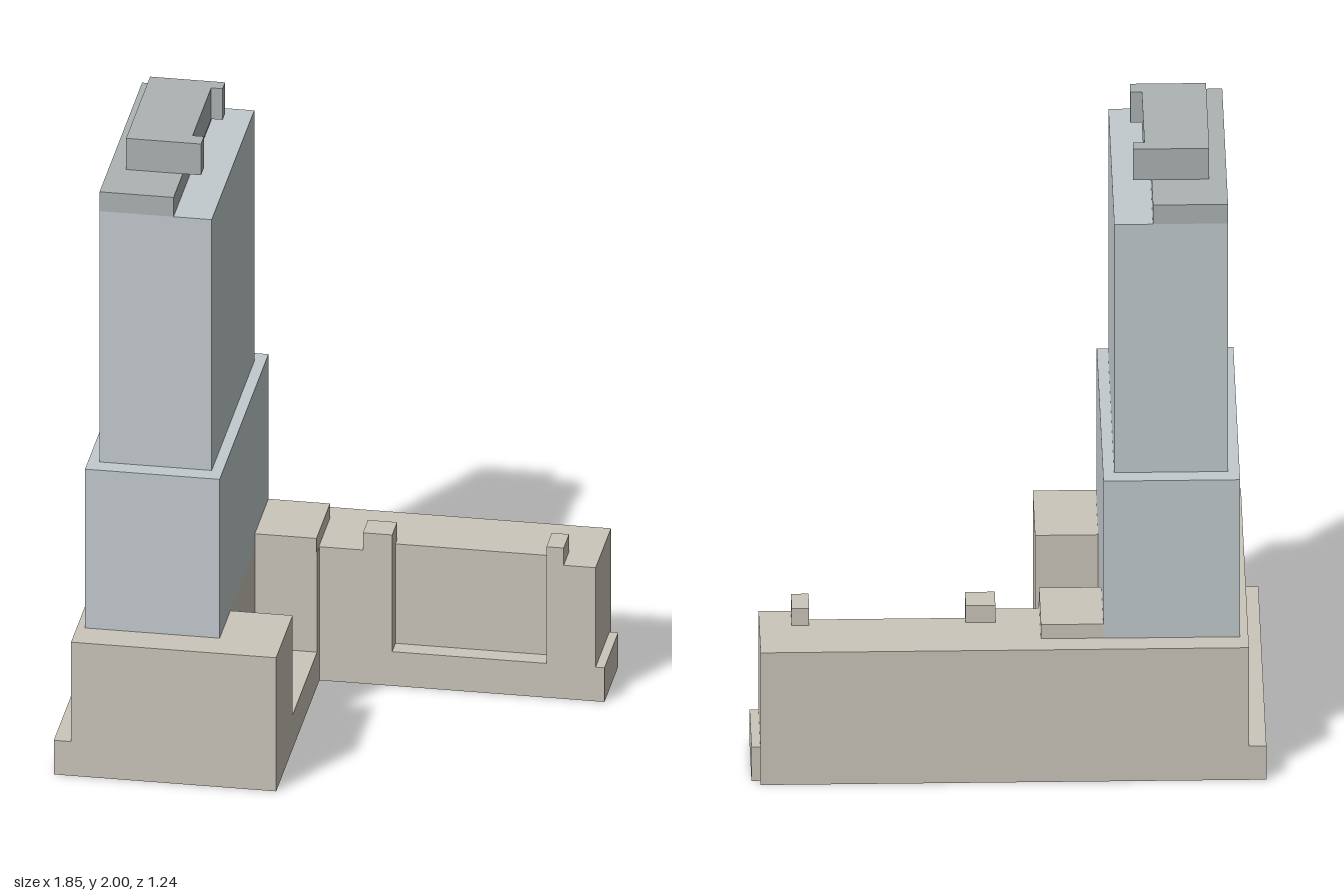
import * as THREE from 'three';

const STONE = new THREE.MeshStandardMaterial({ color: 0xccc6bb });
const GLASS = new THREE.MeshStandardMaterial({ color: 0xc3cbce });
const CROWN = new THREE.MeshStandardMaterial({ color: 0xadb3b3 });

// Vertical prism from a plan outline of [x, z] points
function prism(name, material, y0, y1, outline) {
  const shape = new THREE.Shape(outline.map(([x, z]) => new THREE.Vector2(x, z)));
  const geometry = new THREE.ExtrudeGeometry(shape, { depth: y1 - y0, bevelEnabled: false });
  geometry.rotateX(Math.PI / 2).translate(0, y1, 0);
  const mesh = new THREE.Mesh(geometry, material);
  mesh.name = name;
  return mesh;
}

// Box from its plan and height limits
function block(name, material, x0, x1, z0, z1, y0, y1) {
  const geometry = new THREE.BoxGeometry(x1 - x0, y1 - y0, z1 - z0);
  const mesh = new THREE.Mesh(geometry, material);
  mesh.position.set((x0 + x1) / 2, (y0 + y1) / 2, (z0 + z1) / 2);
  mesh.name = name;
  return mesh;
}

export function createModel() {
  // The building is laid out square to its own axes, then turned on the site
  const building = new THREE.Group();
  building.name = 'building';
  building.position.set(-0.27, 0, -0.62);
  building.rotation.y = -0.679;

  building.add(
    // L-shaped ground floor with a ledge at both ends
    prism('groundFloor', STONE, 0, 0.115, [
      [0, 0], [1.529, 0], [1.529, 0.028], [1.556, 0.028], [1.556, 0.273],
      [0.682, 0.273], [0.682, 1.044], [0, 1.044],
    ]),
    // Podium with the wing recess and the courtyard recess
    prism('podium', STONE, 0.115, 0.45, [
      [0.053, 0], [1.529, 0], [1.529, 0.273], [1.378, 0.273], [1.378, 0.215],
      [0.905, 0.215], [0.905, 0.273], [0.682, 0.273], [0.682, 0.315],
      [0.491, 0.315], [0.491, 0.75], [0.682, 0.75], [0.682, 1.044], [0.053, 1.044],
    ]),
    // Raised roof blocks on the podium
    block('podiumRoofBlock', STONE, 0.491, 0.68, 0.073, 0.315, 0.45, 0.498),
    block('wingRoofBlockInner', STONE, 0.815, 0.905, 0.184, 0.273, 0.45, 0.508),
    block('wingRoofBlockOuter', STONE, 1.378, 1.431, 0.177, 0.273, 0.45, 0.508),

    // Tower stepping in as it rises
    block('lowerTower', GLASS, 0.078, 0.491, 0.072, 0.941, 0.45, 0.985),
    block('upperTower', GLASS, 0.113, 0.457, 0.127, 0.885, 0.985, 1.83),
    block('crown', CROWN, 0.113, 0.34, 0.127, 0.885, 1.83, 1.895),

    // Rooftop house with two end lobes overhanging the crown
    prism('roofHouse', CROWN, 1.895, 2, [
      [0.166, 0.293], [0.396, 0.293], [0.396, 0.337], [0.361, 0.337],
      [0.361, 0.668], [0.396, 0.668], [0.396, 0.721], [0.166, 0.721],
    ]),
  );

  const model = new THREE.Group();
  model.name = 'towerBuilding';
  model.add(building);
  return model;
}
